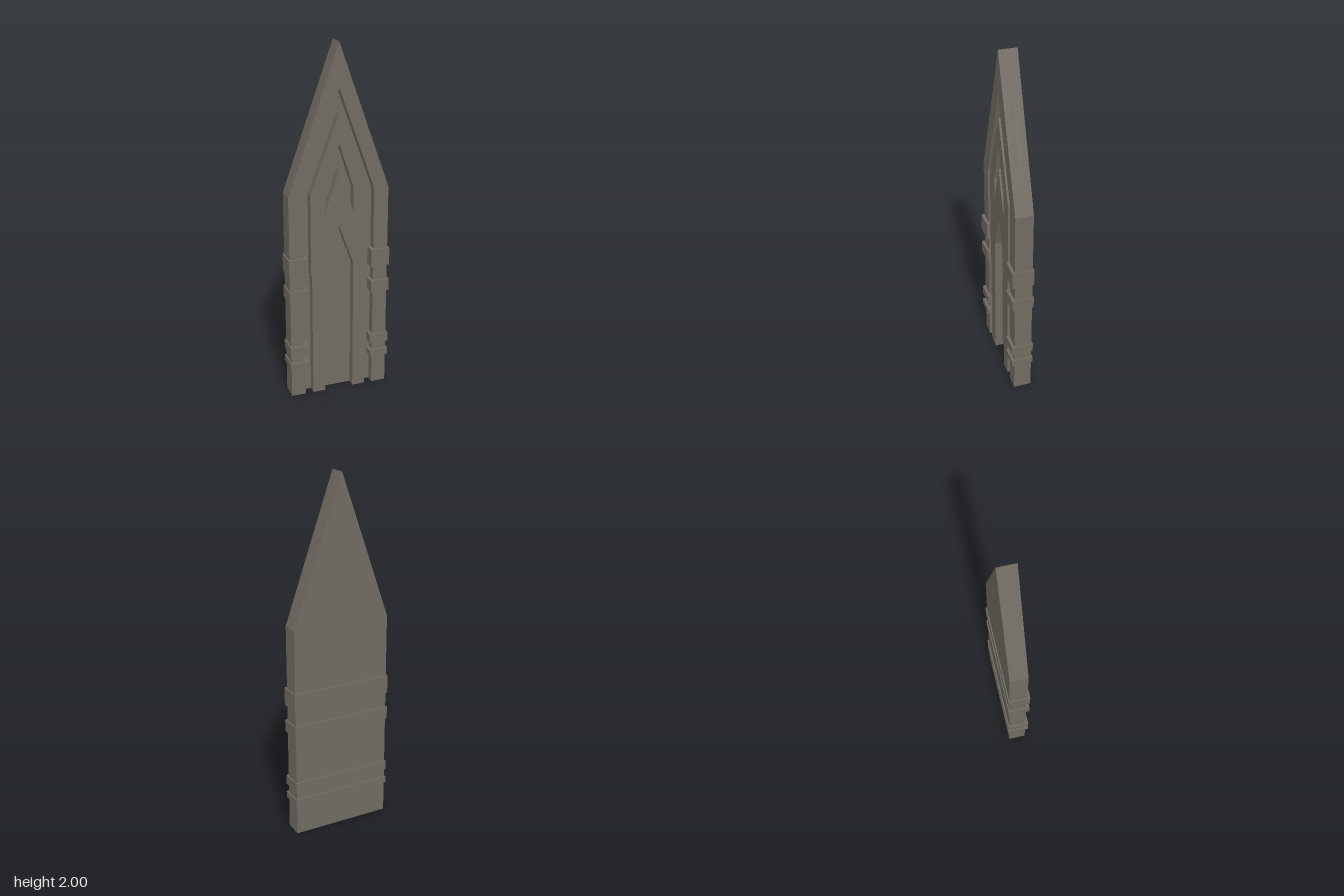
import * as THREE from 'three';

const material = new THREE.MeshStandardMaterial({ color: 0x706b62, flatShading: true });

// Mirrors a right-hand half outline (listed bottom to top) to the left side.
const mirror = (half) => half.map(([x, y]) => [-x, y]);
const toShape = (pts) => new THREE.Shape(pts.map(([x, y]) => new THREE.Vector2(x, y)));

function slab(name, shape, z0, z1) {
  const geometry = new THREE.ExtrudeGeometry(shape, { depth: z1 - z0, bevelEnabled: false });
  geometry.translate(0, 0, z0);
  const mesh = new THREE.Mesh(geometry, material);
  mesh.name = name;
  return mesh;
}

// Pointed arch outline: up the right side, over the apex, down the left side.
function arch(sides, apex) {
  return [...sides, [0, apex], ...mirror(sides).reverse()];
}

// Pointed band between an outer and an inner arch, open at the bottom.
const archBand = (outer, inner) => toShape([...outer, ...[...inner].reverse()]);

export function createModel() {
  const group = new THREE.Group();
  group.name = 'pointedPanel';
  const back = -0.055, floor = 0, front = 0.045;

  const outline = arch([[0.283, 0], [0.283, 1.2]], 2);
  const grooveOuter = arch([[0.2, 0], [0.2, 1.2]], 1.765);
  const panelOutline = arch([[0.156, 0], [0.156, 0.735], [0.162, 0.735], [0.162, 1.2]], 1.63);
  const doorway = arch([[0.082, 0], [0.082, 0.78]], 1.01);

  // Back plate, which forms the floor of every recess
  group.add(slab('backPlate', toShape(outline), back, floor));

  // Raised border
  group.add(slab('outerFrame', archBand(outline, grooveOuter), floor, front));

  // Raised inner arch with a doorway recess and a chevron recess
  const innerArch = archBand(panelOutline, doorway);
  const chevron = [[0.081, 1.085], [0.081, 1.22], [0, 1.47], [-0.081, 1.22], [-0.081, 1.085], [0, 1.325]];
  innerArch.holes.push(new THREE.Path(chevron.map(([x, y]) => new THREE.Vector2(x, y))));
  group.add(slab('innerArch', innerArch, floor, front));

  // Straps wrapping the back and sides, with returns on the front that reach
  // down into the groove; the footprint is drawn in x and -z, then turned upward
  const footprint = toShape([
    [0.29, -0.061], [0.29, 0.062], [-0.29, 0.062], [-0.29, -0.061], [-0.183, -0.061], [-0.183, -floor],
    [-0.283, -floor], [-0.283, -back], [0.283, -back], [0.283, -floor], [0.183, -floor], [0.183, -0.061],
  ]);
  for (const [y0, y1] of [[0.178, 0.215], [0.263, 0.317], [0.588, 0.657], [0.745, 0.847]]) {
    const strap = slab('strap', footprint, y0, y1);
    strap.geometry.rotateX(-Math.PI / 2);
    group.add(strap);
  }
  return group;
}
